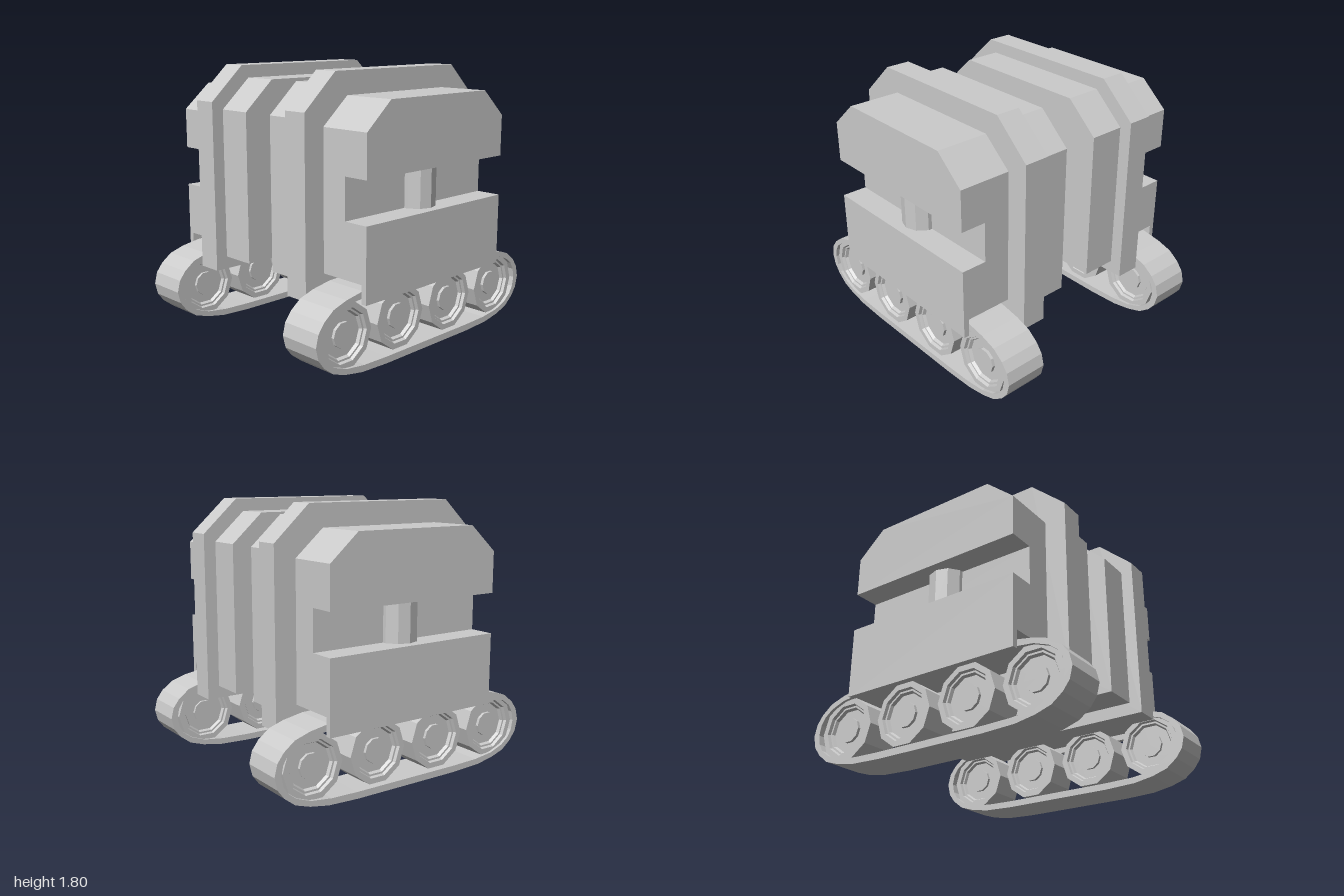
import * as THREE from 'three';

const material = new THREE.MeshStandardMaterial({ color: 0xcccccc, flatShading: true });

function add(parent, name, geometry) {
  const mesh = new THREE.Mesh(geometry, material);
  mesh.name = name;
  parent.add(mesh);
  return mesh;
}

const toShape = (points) => new THREE.Shape(points.map(([a, b]) => new THREE.Vector2(a, b)));

// Extrude a (z, y) outline that is symmetric in z, between x0 and x1
function extrudeAcross(shape, x0, x1) {
  return new THREE.ExtrudeGeometry(shape, { depth: Math.abs(x1 - x0), bevelEnabled: false })
    .rotateY(Math.PI / 2)
    .translate(Math.min(x0, x1), 0, 0);
}

// Slab outline with chamfered top corners
const slab = (bottom, shoulder, top, halfZ, topZ) => toShape([
  [-halfZ, bottom], [halfZ, bottom], [halfZ, shoulder],
  [topZ, top], [-topZ, top], [-halfZ, shoulder],
]);

// Closed loop from one quarter: points run from the end tip to the flat run
function trackLoop(quarter, midY) {
  const end = [
    ...quarter.slice(1).reverse().map(([z, h]) => [z, midY - h]),
    ...quarter.map(([z, h]) => [z, midY + h]),
  ];
  return [...end, ...end.map(([z, y]) => [-z, y]).reverse()];
}

const AXLE_Y = 0.265;

function trackGeometry(x0, x1) {
  const outer = [[1, 0], [0.98, 0.08], [0.935, 0.14], [0.86, 0.198], [0.755, 0.232], [0.62, 0.256], [0.4, 0.265]];
  const inner = [[0.953, 0], [0.94, 0.065], [0.91, 0.115], [0.85, 0.16], [0.75, 0.197], [0.6, 0.215], [0.4, 0.22]];
  const shape = toShape(trackLoop(outer, AXLE_Y));
  shape.holes.push(toShape(trackLoop(inner, AXLE_Y)));
  return extrudeAcross(shape, x0, x1);
}

// Ten-sided wheel with a raised rim and hub on both faces, axle along x
function wheelGeometry() {
  const face = [[0, 0.105], [0.083, 0.105], [0.083, 0.085], [0.145, 0.085], [0.155, 0.105], [0.168, 0.105], [0.175, 0.125], [0.213, 0.125]];
  const profile = [
    ...face.map(([r, h]) => new THREE.Vector2(r, -h)),
    ...face.slice().reverse().map(([r, h]) => new THREE.Vector2(r, h)),
  ];
  return new THREE.LatheGeometry(profile, 10).rotateZ(-Math.PI / 2);
}

function createHalf(side, name) {
  const half = new THREE.Group();
  half.name = name;

  // Stepped inner slabs
  add(half, 'innerSlab', extrudeAcross(slab(0.505, 1.515, 1.715, 0.715, 0.495), side * 0.12, side * 0.367));
  add(half, 'tallSlab', extrudeAcross(slab(0.42, 1.57, 1.8, 0.8, 0.55), side * 0.367, side * 0.537));

  // Outer body: slotted side with a thin skirt over the track
  const section = toShape([
    [0.537, 0.57], [0.86, 0.57], [0.86, 0.45], [0.897, 0.45], [0.897, 0.93], [0.722, 0.93],
    [0.722, 1.2], [0.897, 1.2], [0.897, 1.475], [0.537, 1.475],
  ].map(([x, y]) => [side * x, y]));
  add(half, 'outerBody', new THREE.ExtrudeGeometry(section, { depth: 1.3, bevelEnabled: false }).translate(0, 0, -0.65));
  const cap = toShape([[-0.65, 1.475], [0.65, 1.475], [0.45, 1.65], [-0.45, 1.65]]);
  add(half, 'outerBodyTop', extrudeAcross(cap, side * 0.537, side * 0.897));

  // Upright post in the slot
  const post = add(half, 'slotPost', new THREE.CylinderGeometry(0.13, 0.13, 0.27, 10).rotateY(Math.PI / 2));
  post.position.set(side * 0.708, 1.065, 0);

  // Track and its wheels
  add(half, 'track', trackGeometry(side * 0.553, side * 0.842));
  const wheel = wheelGeometry();
  for (const z of [0.737, 0.257, -0.233, -0.72]) {
    add(half, 'wheel', wheel).position.set(side * 0.697, AXLE_Y, z);
  }
  return half;
}

export function createModel() {
  const model = new THREE.Group();
  model.name = 'trackedVehicle';
  model.add(createHalf(1, 'leftHalf'), createHalf(-1, 'rightHalf'));

  // Bar joining the two halves
  const bar = add(model, 'connectingBar', new THREE.CylinderGeometry(0.13, 0.13, 0.26, 10).rotateZ(Math.PI / 2));
  bar.position.y = 1.065;
  return model;
}
